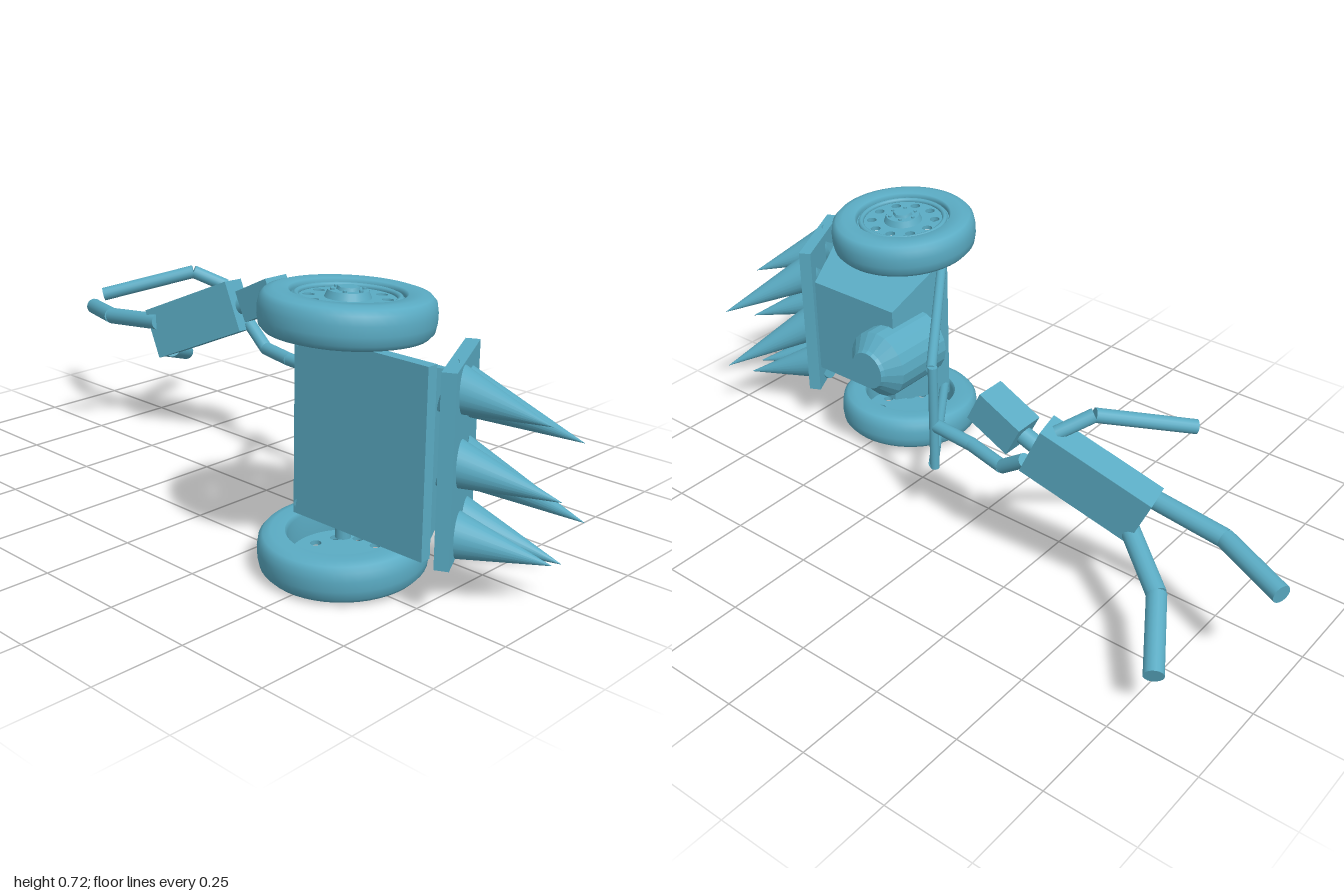
import * as THREE from 'three';
import { ConvexGeometry } from 'three/addons/geometries/ConvexGeometry.js';

const paint = new THREE.MeshStandardMaterial({ color: 0x5aabc3 });
paint.name = 'tealBlue';
const V = (p) => new THREE.Vector3(...p);

function add(parent, name, geometry, position = [0, 0, 0]) {
  const mesh = new THREE.Mesh(geometry, paint);
  mesh.name = name;
  mesh.position.set(...position);
  parent.add(mesh);
  return mesh;
}

// Round bar or cone running from point a to point b
function rod(parent, name, a, b, ra, rb = ra, sides = 16) {
  const dir = V(b).sub(V(a));
  const mesh = add(parent, name, new THREE.CylinderGeometry(rb, ra, dir.length(), sides));
  mesh.position.copy(V(a).add(V(b)).multiplyScalar(0.5));
  mesh.quaternion.setFromUnitVectors(new THREE.Vector3(0, 1, 0), dir.normalize());
  return mesh;
}

// Chain of straight segments through joints
function limb(parent, name, joints, radius) {
  for (let i = 0; i < joints.length - 1; i++) {
    rod(parent, name + 'Segment' + (i + 1), joints[i], joints[i + 1], radius);
  }
}

function lathe(points, segments = 48) {
  return new THREE.LatheGeometry(points.map((p) => new THREE.Vector2(...p)), segments);
}

// Wheel lying on its side, outer face towards +y
function wheel(name) {
  const g = new THREE.Group();
  g.name = name;
  add(g, 'tire', lathe([
    [0.14, -0.05], [0.175, -0.052], [0.195, -0.046], [0.206, -0.034], [0.21, -0.012],
    [0.21, 0.012], [0.206, 0.034], [0.195, 0.046], [0.175, 0.052], [0.14, 0.05],
    [0.134, 0.04], [0.134, -0.04], [0.14, -0.05],
  ]));

  // Rim disc with a ring of open holes
  const disc = new THREE.Shape().absarc(0, 0, 0.136, 0, Math.PI * 2);
  for (let i = 0; i < 10; i++) {
    const a = (i / 10) * Math.PI * 2;
    disc.holes.push(new THREE.Path().absarc(Math.cos(a) * 0.092, Math.sin(a) * 0.092, 0.014, 0, Math.PI * 2, true));
  }
  const discGeo = new THREE.ExtrudeGeometry(disc, { depth: 0.012, bevelEnabled: false, curveSegments: 24 });
  discGeo.rotateX(-Math.PI / 2);
  add(g, 'rimDisc', discGeo, [0, 0.022, 0]);
  const lip = new THREE.TorusGeometry(0.122, 0.008, 8, 40).rotateX(Math.PI / 2);
  add(g, 'rimLip', lip, [0, 0.036, 0]);

  // Hub with bolts
  add(g, 'hub', new THREE.CylinderGeometry(0.048, 0.058, 0.022, 24), [0, 0.04, 0]);
  add(g, 'hubCap', new THREE.CylinderGeometry(0.026, 0.03, 0.01, 6), [0, 0.054, 0]);
  for (let i = 0; i < 6; i++) {
    const a = (i / 6) * Math.PI * 2;
    add(g, 'bolt', new THREE.CylinderGeometry(0.005, 0.005, 0.006, 6), [Math.cos(a) * 0.039, 0.053, Math.sin(a) * 0.039]);
  }
  return g;
}

function machine() {
  const g = new THREE.Group();
  g.name = 'machine';

  // Wheels, slightly splayed towards the front
  const upper = wheel('upperWheel');
  upper.position.set(0.49, 0.658, 0.22);
  upper.rotation.x = -0.057;
  const lower = wheel('lowerWheel');
  lower.position.set(0.49, 0.064, 0.22);
  lower.rotation.set(0.057, 0, Math.PI);
  g.add(upper, lower);
  rod(g, 'axle', [0.49, 0.09, 0.22], [0.49, 0.63, 0.22], 0.02);

  // Floor slab and tapered housing behind it
  add(g, 'slab', new THREE.BoxGeometry(0.405, 0.465, 0.03), [0.5675, 0.3625, 0.25]);
  const corners = [];
  for (const [x0, x1, y0, y1, z] of [[0.365, 0.755, 0.14, 0.585, 0.236], [0.365, 0.67, 0.22, 0.51, 0.02]]) {
    for (const x of [x0, x1]) for (const y of [y0, y1]) corners.push(V([x, y, z]));
  }
  add(g, 'housing', new ConvexGeometry(corners));

  // Engine drum with chamfered cap
  const drum = lathe([[0, 0], [0.1, 0], [0.1, 0.185], [0.1, 0.185], [0.062, 0.222], [0.062, 0.222], [0.056, 0.232], [0, 0.232]], 20)
    .toNonIndexed();
  drum.computeVertexNormals();
  drum.rotateX(-Math.PI / 2);
  add(g, 'engineDrum', drum, [0.38, 0.36, 0.152]);

  // Slanted plate with two columns of spikes
  const plate = add(g, 'spikePlate', new THREE.BoxGeometry(0.035, 0.465, 0.28), [0.765, 0.3625, 0.142]);
  plate.rotation.y = 0.47;
  const spikes = [
    [[0.775, 0.54, 0.2], [0.955, 0.45, 0.05]],
    [[0.775, 0.365, 0.2], [0.99, 0.28, 0.05]],
    [[0.775, 0.185, 0.19], [0.975, 0.12, 0.05]],
    [[0.735, 0.505, 0.11], [0.945, 0.37, -0.1]],
    [[0.735, 0.335, 0.11], [0.96, 0.175, -0.1]],
    [[0.735, 0.185, 0.11], [0.968, 0.105, 0]],
  ];
  for (const [base, tip] of spikes) rod(g, 'spike', base, tip, 0.062, 0.0005, 24);

  // Tow frame
  rod(g, 'upperTowBar', [0.38, 0.57, 0.26], [0.07, 0.513, -0.155], 0.014);
  rod(g, 'lowerTowBar', [0.38, 0.155, 0.26], [0.07, 0.212, -0.155], 0.014);
  rod(g, 'handleBar', [0.065, 0.203, -0.155], [0.065, 0.522, -0.155], 0.013);
  return g;
}

function rider() {
  const g = new THREE.Group();
  g.name = 'figure';

  // Torso leaning along the pull direction
  const along = V([0.29, 0.13, -0.065]).normalize();
  const across = V([0, 0, 1]).cross(along).normalize();
  const depth = along.clone().cross(across);
  const torso = add(g, 'torso', new THREE.BoxGeometry(0.325, 0.152, 0.08), [-0.445, 0.385, -0.153]);
  torso.quaternion.setFromRotationMatrix(new THREE.Matrix4().makeBasis(along, across, depth));

  const head = add(g, 'head', new THREE.BoxGeometry(0.138, 0.094, 0.085), [-0.198, 0.488, -0.19]);
  head.rotation.z = 0.45;
  rod(g, 'neck', [-0.31, 0.44, -0.185], [-0.235, 0.472, -0.19], 0.024);

  // Arms: one grips the handle, the other trails
  limb(g, 'grippingArm', [[-0.275, 0.395, -0.2], [-0.195, 0.337, -0.19], [-0.07, 0.337, -0.16], [0.07, 0.337, -0.148]], 0.019);
  limb(g, 'trailingArm', [[-0.355, 0.5, -0.18], [-0.42, 0.543, -0.11], [-0.595, 0.478, 0.09]], 0.019);

  // Legs
  limb(g, 'straightLeg', [[-0.57, 0.363, -0.095], [-0.8, 0.337, -0.097], [-0.995, 0.317, -0.175]], 0.025);
  limb(g, 'bentLeg', [[-0.55, 0.275, -0.13], [-0.71, 0.215, -0.245], [-0.82, 0.145, -0.422]], 0.026);
  return g;
}

export function createModel() {
  const model = new THREE.Group();
  model.name = 'towedSpikeMachine';
  model.add(machine(), rider());
  return model;
}
